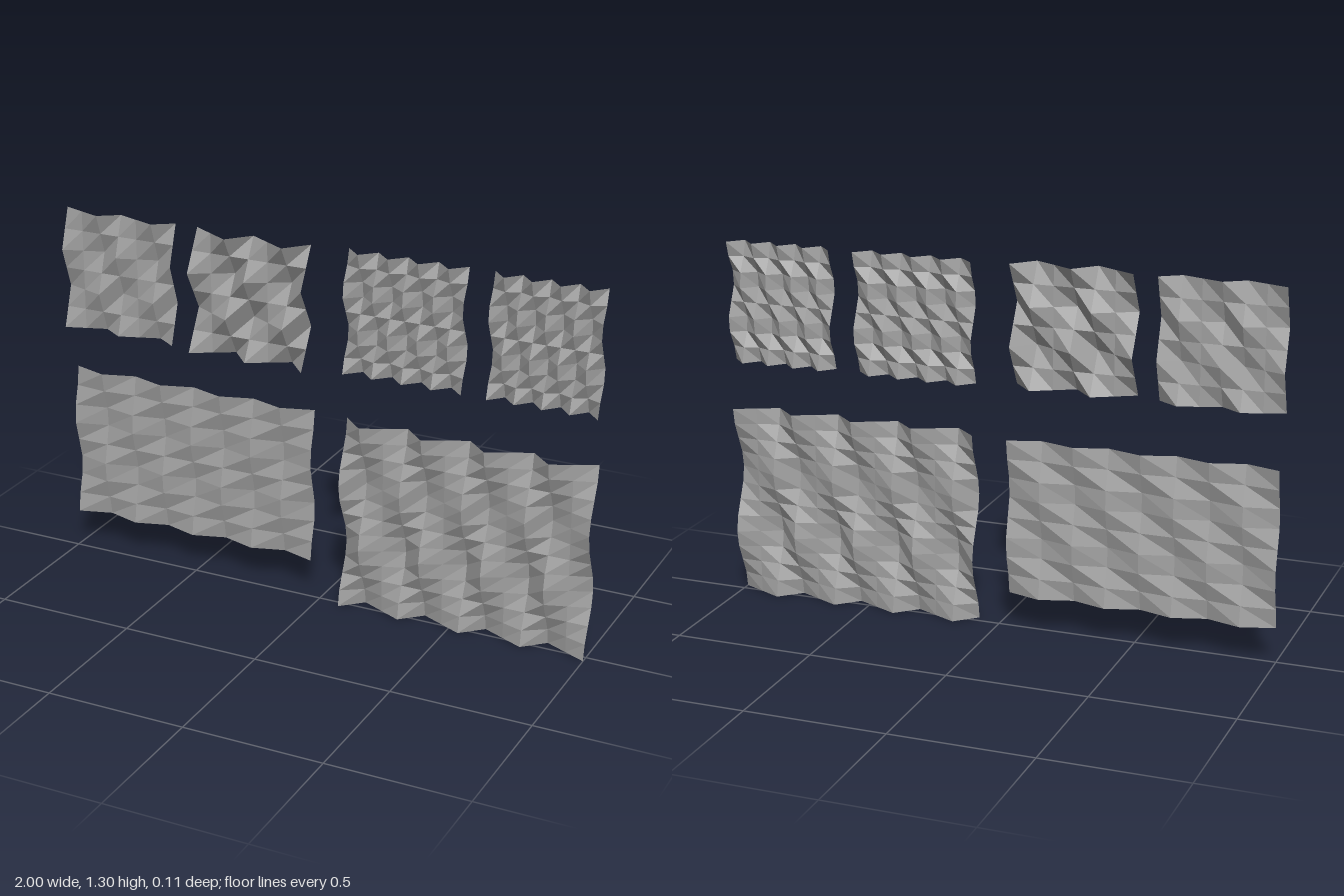
import * as THREE from 'three';

const grey = new THREE.MeshStandardMaterial({ color: 0xa0a0a0, side: THREE.DoubleSide, flatShading: true });
grey.name = 'plain grey';

// Repeating cross-panel offsets: slow rise, quick rise, even zigzag
const slowRise = [-1, 0, 1];
const quickRise = [-1, 1, 0];
const zigzag = [-1, 1];

// Folded panel: x0..x1, y0..y1, columns, rows, mean depth, fold depth, fold pattern
const panels = [
  ['upperFarRightPanel', -1, -0.565, 0.87, 1.305, 6, 6, -0.003, 0.024, slowRise],
  ['upperRightPanel', -0.48, -0.045, 0.87, 1.305, 6, 6, 0.014, 0.04, slowRise],
  ['upperLeftPanel', 0.085, 0.52, 0.87, 1.305, 8, 8, -0.024, 0.026, zigzag],
  ['upperFarLeftPanel', 0.61, 1, 0.87, 1.305, 8, 8, -0.024, 0.026, zigzag],
  ['lowerRightPanel', -1, -0.045, 0.13, 0.695, 8, 8, -0.035, 0.018, zigzag],
  ['lowerLeftPanel', 0.085, 1, 0, 0.695, 12, 12, -0.006, 0.035, quickRise],
];

function foldedPanel([name, x0, x1, y0, y1, cols, rows, depth, amp, pattern]) {
  const geo = new THREE.PlaneGeometry(x1 - x0, y1 - y0, cols, rows);
  const pos = geo.attributes.position;
  for (let j = 0; j <= rows; j++) {
    // Three half waves down the height reverse the folds
    const wave = Math.cos((3 * Math.PI * j) / rows);
    for (let i = 0; i <= cols; i++) {
      pos.setZ(j * (cols + 1) + i, amp * wave * pattern[i % pattern.length]);
    }
  }
  geo.computeVertexNormals();
  const mesh = new THREE.Mesh(geo, grey);
  mesh.name = name;
  mesh.position.set((x0 + x1) / 2, (y0 + y1) / 2, depth);
  return mesh;
}

export function createModel() {
  const group = new THREE.Group();
  group.name = 'foldedPanels';
  for (const p of panels) group.add(foldedPanel(p));
  return group;
}
